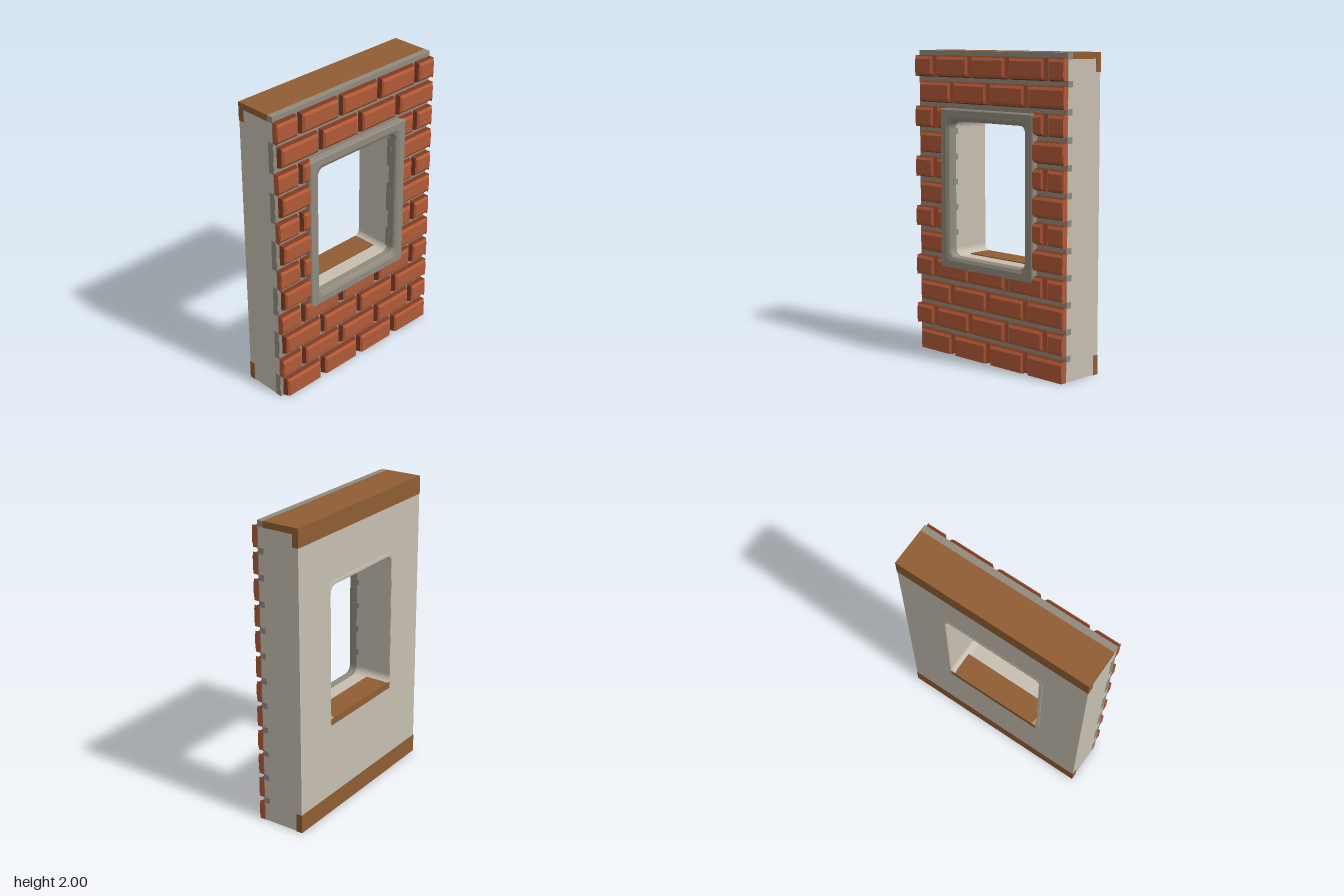
import * as THREE from 'three';

const mat = (name, color) => {
  const m = new THREE.MeshStandardMaterial({ color });
  m.name = name;
  return m;
};

// Wall and opening dimensions
const W = 0.667, BACK = -0.167, FACE = 0.125, FRONT = 0.167;
const HOLE = { x0: -0.34, x1: 0.34, y0: 0.66, y1: 1.55 };
const ROW = 1 / 6, PITCH = 1 / 3;

export function createModel() {
  const root = new THREE.Group();
  root.name = 'brickWallWithWindow';
  const plaster = mat('plaster', 0xc6beb0);
  const mortar = mat('mortar', 0x918b7e);
  const wood = mat('wood', 0x8f5d33);
  const brick = mat('brick', 0xb05937);
  const brickEdge = mat('brickEdge', 0x7c3820);

  const add = (name, geo, material, parent = root) => {
    const m = new THREE.Mesh(geo, material);
    m.name = name;
    parent.add(m);
    return m;
  };
  const box = (name, x0, x1, y0, y1, z0, z1, material, parent) =>
    add(name, new THREE.BoxGeometry(x1 - x0, y1 - y0, z1 - z0), material, parent)
      .position.set((x0 + x1) / 2, (y0 + y1) / 2, (z0 + z1) / 2);
  const group = (name) => {
    const g = new THREE.Group();
    g.name = name;
    root.add(g);
    return g;
  };

  // Counter-clockwise rectangle loop, with rounded corners when r > 0
  const loop = (x0, x1, y0, y1, z, r = 0) => {
    const n = r > 0 ? 5 : 0, pts = [];
    [[x1, y0, -1, 1], [x1, y1, -1, -1], [x0, y1, 1, -1], [x0, y0, 1, 1]].forEach(([x, y, sx, sy], k) => {
      for (let i = 0; i <= n; i++) {
        const a = (k - 1 + (n ? i / n : 0)) * Math.PI / 2;
        pts.push(new THREE.Vector3(x + sx * r + Math.cos(a) * r, y + sy * r + Math.sin(a) * r, z));
      }
    });
    return pts;
  };
  // Opening outline grown by d
  const ring = (d, z, r) => loop(HOLE.x0 - d, HOLE.x1 + d, HOLE.y0 - d, HOLE.y1 + d, z, r);

  // Flat-shaded skin through successive loops, optionally capped at the last one
  const loft = (loops, cap = false) => {
    const p = [], tri = (...v) => v.forEach((q) => p.push(q.x, q.y, q.z));
    for (let k = 0; k + 1 < loops.length; k++) {
      const a = loops[k], b = loops[k + 1];
      a.forEach((_, i) => {
        const j = (i + 1) % a.length;
        tri(a[i], a[j], b[j]);
        tri(a[i], b[j], b[i]);
      });
    }
    if (cap) {
      const c = loops[loops.length - 1];
      for (let i = 1; i + 1 < c.length; i++) tri(c[0], c[i], c[i + 1]);
    }
    const g = new THREE.BufferGeometry();
    g.setAttribute('position', new THREE.Float32BufferAttribute(p, 3));
    g.computeVertexNormals();
    return g;
  };

  // Wall slab with the rounded opening
  const slab = (hw, y0, y1, z0, z1) => {
    const flat = (pts) => pts.map((v) => new THREE.Vector2(v.x, v.y));
    const s = new THREE.Shape(flat(loop(-hw, hw, y0, y1, 0)));
    s.holes.push(new THREE.Path(flat(ring(0.002, 0, 0.05))));
    return new THREE.ExtrudeGeometry(s, { depth: z1 - z0, bevelEnabled: false }).translate(0, 0, z0);
  };
  add('plasterWall', slab(0.665, 0.002, 1.96, -0.165, 0.121), plaster);
  add('mortarFace', slab(0.666, 0, 1.96, 0.121, FACE), mortar);

  // Timber and mortar along the top and bottom
  box('topMortar', -W, W, 1.96, 2, 0.083, FACE, mortar);
  box('topPlank', -W, W, 1.96, 2, BACK, 0.083, wood);
  box('topBackBeam', -W, W, 1.88, 1.96, BACK, -0.125, wood);
  box('bottomBackBeam', -W, W, 0, 0.125, BACK, -0.125, wood);

  // Window surround, soft rim at the back, sill
  add('windowSurround', loft([
    ring(0.078, 0.12, 0.008), ring(0.078, 0.161, 0.008), ring(0.07, FRONT, 0.008),
    ring(0.026, FRONT, 0.04), ring(0.006, 0.157, 0.05), ring(0, 0.145, 0.05), ring(0, 0.1, 0.05),
    ring(0.003, 0.1, 0.05),
  ]), mortar);
  add('backRim', loft([
    ring(0.001, -0.14, 0.05), ring(0.001, -0.163, 0.05), ring(0.006, BACK, 0.05),
    ring(0.022, BACK, 0.05), ring(0.034, -0.164, 0.05),
  ]), plaster);
  box('windowSill', -0.338, 0.338, 0.618, 0.664, -0.1675, 0.0, wood);

  // Mortar joints showing on the outer ends and in the opening
  const joints = group('mortarJoints');
  const band = (x, y0, y1) =>
    box('joint', x - 0.004, x + 0.004, y0, y1, 0.083, 0.122, mortar, joints);
  for (let r = 0; r < 12; r++) {
    const y0 = r * ROW, top = y0 + 0.128, y1 = Math.min(y0 + ROW, 1.96);
    const start = r % 2 ? top : y0;
    if (y1 > top) {
      band(W - 0.004, top, y1);
      band(-W + 0.004, start, y1);
    }
    if (r > 3 && r < 9) {
      band(-0.343, top, y1);
      band(0.343, start, y1);
    }
  }

  // Bricks: dark tapered sides, brighter bevelled face
  const bricks = group('bricks');
  const addBrick = (x0, x1, y0, y1) => {
    const cutL = x0 <= -W, cutR = x1 >= W;
    const l = cutL ? -W + 0.002 : x0, r = cutR ? W - 0.002 : x1;
    const at = (ix, iy, z) => loop(l + (cutL ? 0 : ix), r - (cutR ? 0 : ix), y0 + (y0 > 0 ? iy : 0), y1 - iy, z);
    const mid = at(0.012, 0.009, 0.153);
    add('brickSides', loft([at(0, 0, 0.122), mid]), brickEdge, bricks);
    add('brickFace', loft([mid, at(0.024, 0.026, 0.165)], true), brick, bricks);
    if (cutL) box('brickEnd', -W, l, y0 + 0.003, y1 - 0.003, FACE, 0.16, brick, bricks);
    if (cutR) box('brickEnd', r, W, y0 + 0.003, y1 - 0.003, FACE, 0.16, brick, bricks);
  };
  for (let r = 0; r < 12; r++) {
    const y0 = Math.max(0, r * ROW - 0.006), y1 = r * ROW + 0.136;
    for (let i = -1; i < 5; i++) {
      const s = -0.642 + i * PITCH + (r % 2 ? PITCH / 2 : 0);
      const x0 = Math.max(s, -W), x1 = Math.min(s + 0.316, W);
      if (x1 - x0 < 0.03) continue;
      if (r < 4 || r > 9) addBrick(x0, x1, y0, y1);
      else {
        // Courses beside the window stop under the surround
        const a = Math.min(x1, -0.39), b = Math.max(x0, 0.39);
        if (a - x0 > 0.04) addBrick(x0, a, y0, y1);
        if (x1 - b > 0.04) addBrick(b, x1, y0, y1);
      }
    }
  }
  return root;
}
